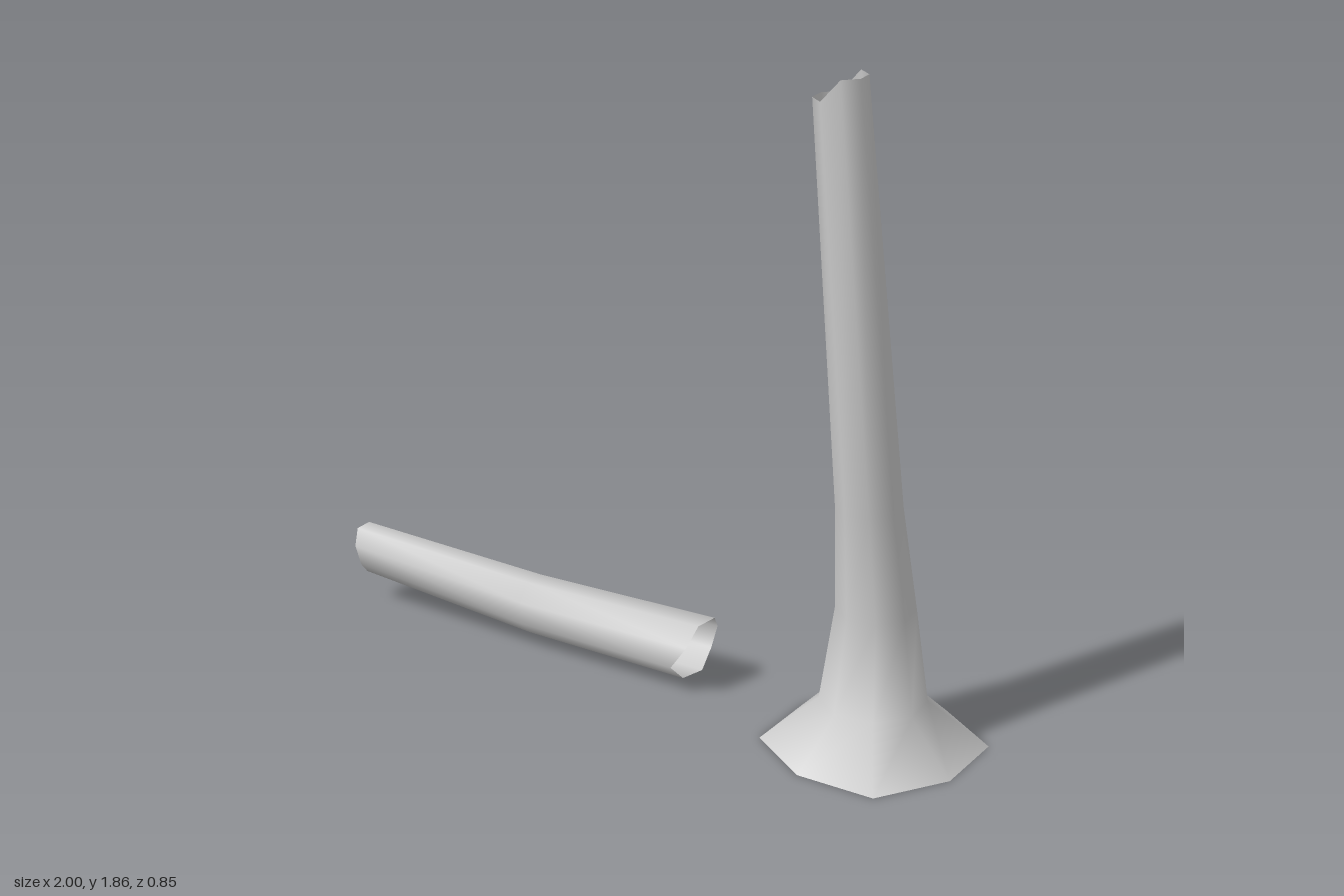
import * as THREE from 'three';

const SIDES = 8;

// Open eight-sided tube lofted through rings { c: centre, r: radius, diag, jag }.
// u and v span each ring; jag shifts single corners along the axis for a broken rim.
function hollowTube(name, rings, u, v, turn, material) {
  const axis = new THREE.Vector3().crossVectors(v, u);
  const positions = [];
  const index = [];
  rings.forEach(({ c, r, diag = 1, jag }, i) => {
    for (let k = 0; k < SIDES; k++) {
      const a = turn + (k / SIDES) * Math.PI * 2;
      const radius = k % 2 ? r * diag : r;
      const p = new THREE.Vector3(...c)
        .addScaledVector(u, Math.cos(a) * radius)
        .addScaledVector(v, Math.sin(a) * radius);
      if (jag) p.addScaledVector(axis, jag[k]);
      positions.push(p.x, p.y, p.z);
      if (i < rings.length - 1) {
        const n = (k + 1) % SIDES;
        const [p0, p1, q0, q1] = [i * SIDES + k, i * SIDES + n, (i + 1) * SIDES + k, (i + 1) * SIDES + n];
        index.push(p0, q0, p1, p1, q0, q1);
      }
    }
  });
  const geometry = new THREE.BufferGeometry();
  geometry.setAttribute('position', new THREE.Float32BufferAttribute(positions, 3));
  geometry.setIndex(index);
  geometry.computeVertexNormals();
  const mesh = new THREE.Mesh(geometry, material);
  mesh.name = name;
  return mesh;
}

export function createModel() {
  const group = new THREE.Group();
  group.name = 'brokenHollowTree';
  const bark = new THREE.MeshStandardMaterial({ color: 0xcccccc, side: THREE.DoubleSide });

  // Standing trunk: flared foot, slight lean, snapped top
  group.add(hollowTube('standingTrunk', [
    { c: [0.712, 0, -0.148], r: 0.285, diag: 1.09 },
    { c: [0.708, 0.13, -0.145], r: 0.147 },
    { c: [0.708, 0.4, -0.145], r: 0.109 },
    { c: [0.702, 0.7, -0.115], r: 0.09 },
    { c: [0.64, 1.8, -0.035], r: 0.07, jag: [0.06, 0.06, 0, 0, 0, 0, 0.06, 0.06] },
  ], new THREE.Vector3(1, 0, 0), new THREE.Vector3(0, 0, 1), 0, bark));

  // Fallen log: gently bent, both ends splintered
  group.add(hollowTube('fallenLog', [
    { c: [-0.98, 0.16, 0.36], r: 0.073, jag: [0.02, 0, 0, 0, 0.03, 0.03, 0.03, 0.04] },
    { c: [-0.38, 0.12, 0.165], r: 0.086 },
    { c: [0.165, 0.122, -0.005], r: 0.094, jag: [0, 0.01, 0.02, 0, -0.02, -0.02, -0.04, -0.05] },
  ], new THREE.Vector3(0.307, 0, 0.952), new THREE.Vector3(0, 1, 0), Math.PI / SIDES, bark));

  return group;
}
